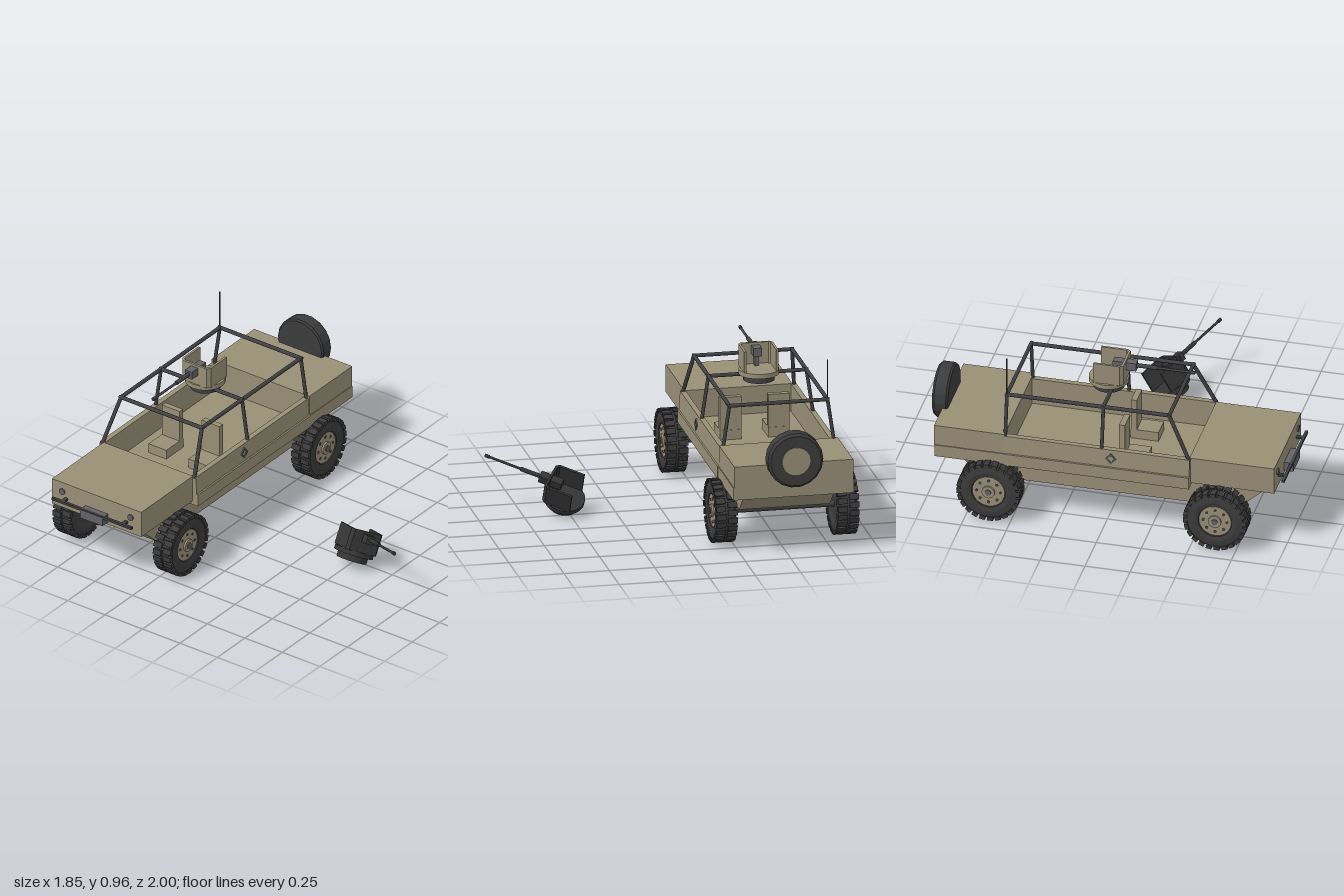
import * as THREE from 'three';
import { mergeGeometries } from 'three/addons/utils/BufferGeometryUtils.js';

const paint = (name, color) => {
  const m = new THREE.MeshStandardMaterial({ color });
  m.name = name;
  return m;
};

export function createModel() {
  const tan = paint('sand paint', 0x988f76);
  const rubber = paint('tyre rubber', 0x3b3b3c);
  const steel = paint('dark steel', 0x414145);
  const grey = paint('gun grey', 0x626268);
  const black = paint('burnt black', 0x343435);

  const model = new THREE.Group();
  model.name = 'patrolCarAndSpareTurret';

  const add = (parent, name, geo, mat, x = 0, y = 0, z = 0) => {
    const m = new THREE.Mesh(geo, mat);
    m.name = name;
    m.position.set(x, y, z);
    parent.add(m);
    return m;
  };
  const box = (w, h, d) => new THREE.BoxGeometry(w, h, d);
  const group = (parent, name, x = 0, y = 0, z = 0) => {
    const g = new THREE.Group();
    g.name = name;
    g.position.set(x, y, z);
    parent.add(g);
    return g;
  };
  const poly = (pts) => new THREE.Shape(pts.map(([x, y]) => new THREE.Vector2(x, y)));
  const extrude = (shape, depth) => new THREE.ExtrudeGeometry(shape, { depth, bevelEnabled: false });
  // Faceted lathe turned so its axis lies along x
  const axleLathe = (pts, sides) => {
    const g = new THREE.LatheGeometry(pts.map(([r, a]) => new THREE.Vector2(r, a)), sides).toNonIndexed();
    g.computeVertexNormals();
    return g.rotateZ(-Math.PI / 2);
  };
  const disc = (r, t, sides = 20) => new THREE.CylinderGeometry(r, r, t, sides).rotateZ(-Math.PI / 2);
  // Cylinder lying along z
  const zRod = (r, len, sides = 10) => new THREE.CylinderGeometry(r, r, len, sides).rotateX(Math.PI / 2);
  // Straight tube between two points
  const rod = (parent, name, a, b, r, mat) => {
    const p = new THREE.Vector3(...a), q = new THREE.Vector3(...b);
    const d = q.clone().sub(p);
    const m = add(parent, name, new THREE.CylinderGeometry(r, r, d.length(), 8), mat);
    m.position.copy(p).add(q).multiplyScalar(0.5);
    m.quaternion.setFromUnitVectors(new THREE.Vector3(0, 1, 0), d.normalize());
  };

  const car = group(model, 'car', -0.53);

  // Body: bonnet, open cabin tub, rear deck and keel
  add(car, 'bonnet', box(0.596, 0.155, 0.47), tan, 0, 0.428, 0.71);
  const tub = poly([
    [-0.335, 0.33], [0.335, 0.33], [0.335, 0.4], [0.327, 0.402], [0.32, 0.505], [0.29, 0.505],
    [0.29, 0.35], [-0.29, 0.35], [-0.29, 0.505], [-0.32, 0.505], [-0.327, 0.402], [-0.335, 0.4],
  ]);
  add(car, 'cabinTub', extrude(tub, 1.025), tan, 0, 0, -0.545);
  add(car, 'rearSill', box(0.664, 0.07, 0.385), tan, 0, 0.365, -0.738);
  add(car, 'rearDeck', box(0.655, 0.12, 0.39), tan, 0, 0.46, -0.74);
  const keel = poly([[0.9, 0.352], [-0.85, 0.34], [-0.7, 0.2], [0.73, 0.2]]);
  add(car, 'keel', extrude(keel, 0.5).rotateY(-Math.PI / 2), tan, 0.25);

  // Seats
  for (const s of [-1, 1]) {
    const seat = group(car, 'seat', s * 0.133);
    add(seat, 'seatCushion', box(0.118, 0.06, 0.155), tan, 0, 0.375, 0.133);
    add(seat, 'seatBack', box(0.118, 0.24, 0.032), tan, 0, 0.47, 0.074);
  }

  // Front bar, winch and headlights
  add(car, 'frontBar', box(0.53, 0.014, 0.016), steel, 0, 0.413, 0.985);
  add(car, 'winch', box(0.15, 0.052, 0.055), grey, 0, 0.39, 0.968);
  for (const s of [-1, 1]) {
    add(car, 'barBracket', box(0.02, 0.012, 0.04), steel, s * 0.2, 0.413, 0.963);
    add(car, 'headlight', zRod(0.018, 0.008, 14), grey, s * 0.228, 0.45, 0.949);
  }

  // Diamond marking on each side
  const diamond = (r) => [[0, r], [-r * 0.9, 0], [0, -r], [r * 0.9, 0]];
  const ring = poly(diamond(0.033));
  ring.holes.push(new THREE.Path(diamond(0.021).map(([x, y]) => new THREE.Vector2(x, y))));
  for (const s of [-1, 1]) {
    const m = add(car, 'sideDiamond', extrude(ring, 0.008), grey, s * 0.3215, 0.452, 0.045);
    m.rotation.y = s * Math.PI / 2;
  }

  // Roll cage and aerial
  const top = 0.74, topX = 0.27, footX = 0.307;
  for (const s of [-1, 1]) {
    rod(car, 'cageRail', [s * topX, top, 0.355], [s * topX, top, -0.55], 0.011, steel);
    rod(car, 'frontPillar', [s * topX, top, 0.355], [s * footX, 0.495, 0.475], 0.011, steel);
    for (const z of [-0.01, -0.545])
      rod(car, 'cagePillar', [s * topX, top, z], [s * footX, 0.495, z], 0.01, steel);
  }
  for (const z of [0.355, -0.01, -0.545])
    rod(car, 'cageCrossbar', [-topX - 0.01, top, z], [topX + 0.01, top, z], 0.011, steel);
  rod(car, 'aerial', [-topX, top, -0.545], [-topX, 0.965, -0.545], 0.004, steel);

  // Wheels: tyre, two staggered rows of tread blocks, rim with holes and hub
  const tyreGeo = axleLathe([
    [0, -0.045], [0.09, -0.045], [0.12, -0.056], [0.155, -0.052], [0.165, -0.04], [0.165, 0.04],
    [0.155, 0.052], [0.12, 0.056], [0.094, 0.05], [0.088, 0.03], [0, 0.03],
  ], 32);
  const blocks = [];
  for (const row of [-1, 1])
    for (let i = 0; i < 24; i++)
      blocks.push(box(0.052, 0.022, 0.031).translate(row * 0.032, 0.164, 0)
        .rotateX((i + row * 0.25) * Math.PI / 12));
  const treadGeo = mergeGeometries(blocks);
  const holes = [];
  for (let i = 0; i < 8; i++)
    holes.push(disc(0.009, 0.006, 8).translate(0.044, 0.066, 0).rotateX(i * Math.PI / 4));
  const holeGeo = mergeGeometries(holes);

  for (const z of [0.637, -0.62]) {
    add(car, 'axle', disc(0.018, 0.62, 12), steel, 0, 0.175, z);
    for (const s of [-1, 1]) {
      const wheel = group(car, 'wheel', s * 0.335, 0.18, z);
      wheel.rotation.y = s < 0 ? Math.PI : 0;
      add(wheel, 'tyre', tyreGeo, rubber);
      add(wheel, 'tread', treadGeo, rubber);
      add(wheel, 'rim', disc(0.09, 0.016, 28), tan, 0.037);
      add(wheel, 'rimHoles', holeGeo, steel);
      add(wheel, 'hub', disc(0.036, 0.012, 16), tan, 0.05);
      add(wheel, 'hubCap', disc(0.017, 0.01, 12), grey, 0.056);
    }
  }

  // Spare wheel on the tail
  const spare = group(car, 'spareWheel', 0, 0.55, -0.95);
  spare.rotation.y = Math.PI / 2;
  add(spare, 'spareTyre', axleLathe([
    [0, -0.045], [0.145, -0.045], [0.153, -0.035], [0.153, 0.03], [0.14, 0.044], [0.085, 0.044], [0, 0.044],
  ], 18), rubber);
  add(spare, 'spareHub', disc(0.078, 0.01, 18), tan, 0.045);

  // Gun turret: ring, plate, three-sided shield and gun; base at local y = 0
  const shieldPlan = poly([
    [-0.095, 0.065], [-0.095, -0.08], [-0.08, -0.1], [0.08, -0.1], [0.095, -0.08], [0.095, 0.065],
    [0.082, 0.065], [0.082, -0.075], [0.073, -0.087], [-0.073, -0.087], [-0.082, -0.075], [-0.082, 0.065],
  ]);
  const shieldGeo = extrude(shieldPlan, 0.12).rotateX(-Math.PI / 2);
  const turret = (name, armour, ringMat, gunMat) => {
    const t = group(model, name);
    add(t, 'turretRing', new THREE.CylinderGeometry(0.085, 0.085, 0.036, 20), ringMat, 0, 0.018, 0);
    add(t, 'turretPlate', new THREE.CylinderGeometry(0.11, 0.11, 0.026, 20), armour, 0, 0.048, 0);
    add(t, 'gunShield', shieldGeo, armour, 0, 0.06, 0);
    add(t, 'gunReceiver', box(0.046, 0.046, 0.13), gunMat, 0, 0.143, 0.09);
    add(t, 'gunMount', box(0.024, 0.07, 0.03), gunMat, 0, 0.09, 0.06);
    add(t, 'barrelJacket', zRod(0.012, 0.115), ringMat, 0, 0.145, 0.21);
    add(t, 'barrel', zRod(0.007, 0.21), ringMat, 0, 0.145, 0.365);
    add(t, 'muzzle', zRod(0.01, 0.024), ringMat, 0, 0.145, 0.465);
    return t;
  };
  turret('turret', tan, steel, grey).position.set(-0.53, 0.715, -0.045);

  // Burnt turret lying beside the car
  const wreck = turret('fallenTurret', black, black, black);
  wreck.position.set(0.522, 0.046, 0.06);
  wreck.rotation.set(-Math.PI / 6, THREE.MathUtils.degToRad(57), 0);

  return model;
}
